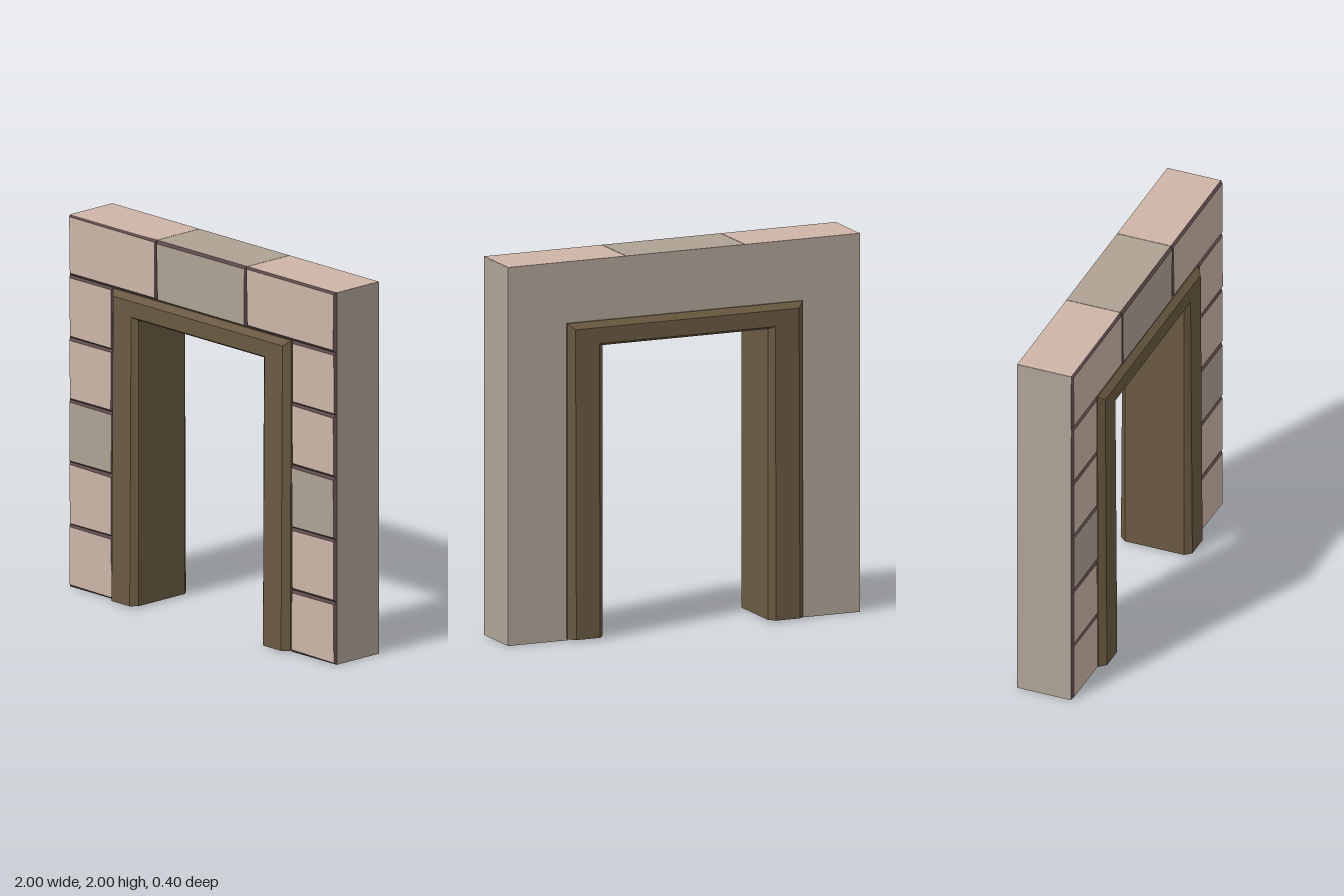
import * as THREE from 'three';

const material = (color) => new THREE.MeshStandardMaterial({ color, flatShading: true });
const STONE = material(0xb0a598);
const PINK = material(0xcdb5a7);
const GREY = material(0xaea294);
const EDGE = material(0x5c484a);
const WOOD = material(0x6a5a42);

function add(parent, name, geometry, mat) {
  const mesh = new THREE.Mesh(geometry, mat);
  mesh.name = name;
  parent.add(mesh);
  return mesh;
}

// Flat-shaded geometry from four-cornered faces (corners counter-clockwise)
function quads(list) {
  const pos = [];
  for (const [a, b, c, d] of list) pos.push(...a, ...b, ...c, ...a, ...c, ...d);
  const g = new THREE.BufferGeometry();
  g.setAttribute('position', new THREE.Float32BufferAttribute(pos, 3));
  g.computeVertexNormals();
  return g;
}

// Small repeatable variation for hand-cut stone edges
let seed = 7;
const vary = () => {
  seed = (seed * 16807) % 2147483647;
  return (seed / 2147483647) * 0.008;
};

// Facing stone: dark bevelled rim around a flat face
function addBlock(parent, name, x0, x1, y0, y1, mat) {
  const block = new THREE.Group();
  block.name = name;
  const rim = [[x0, y0, 0.15], [x1, y0, 0.15], [x1, y1, 0.15], [x0, y1, 0.15]];
  const face = rim.map(([x, y], i) => [
    x + (i === 0 || i === 3 ? 1 : -1) * (0.006 + vary()),
    y + (i < 2 ? 1 : -1) * (0.008 + vary()),
    0.163,
  ]);
  const sides = rim.map((p, i) => [p, rim[(i + 1) % 4], face[(i + 1) % 4], face[i]]);
  add(block, 'bevel', quads(sides), EDGE);
  add(block, 'face', quads([face]), mat);
  parent.add(block);
}

// Timber surround: one profile carried up, across and down with mitred corners
function frameGeometry() {
  // half-width, lintel height, depth at the floor, depth at the lintel
  const half = [
    [0.668, 1.675, 0.165, 0.16],
    [0.635, 1.645, 0.2, 0.19],
    [0.5, 1.56, 0.2, 0.19],
    [0.47, 1.545, 0.165, 0.165],
  ];
  const profile = [...half, ...half.slice().reverse().map(([x, y, a, b]) => [x, y, -a, -b])];
  const stations = [
    profile.map(([x, , z]) => [x, 0.008, z]),
    profile.map(([x, y, , z]) => [x, y, z]),
    profile.map(([x, y, , z]) => [-x, y, z]),
    profile.map(([x, , z]) => [-x, 0.008, z]),
  ];
  const n = profile.length;
  const faces = [];
  for (let s = 0; s < 3; s++) {
    for (let i = 0; i < n; i++) {
      const j = (i + 1) % n;
      faces.push([stations[s][i], stations[s + 1][i], stations[s + 1][j], stations[s][j]]);
    }
  }
  // Feet of the posts
  for (let i = 0; i < 3; i++) {
    const a = stations[0], b = stations[3], k = n - 1 - i;
    faces.push([a[i], a[i + 1], a[k - 1], a[k]]);
    faces.push([b[i], b[k], b[k - 1], b[i + 1]]);
  }
  return quads(faces);
}

export function createModel() {
  const model = new THREE.Group();
  model.name = 'doorway';

  // Plain wall behind the facing stones
  const outline = new THREE.Shape();
  [[-1, 0], [-0.66, 0], [-0.66, 1.67], [0.66, 1.67], [0.66, 0], [1, 0], [1, 1.998], [-1, 1.998]]
    .forEach(([x, y], i) => (i ? outline.lineTo(x, y) : outline.moveTo(x, y)));
  const wall = new THREE.ExtrudeGeometry(outline, { depth: 0.3, bevelEnabled: false });
  wall.translate(0, 0, -0.15);
  add(model, 'wall', wall, STONE);

  // Five stones up each pillar, the middle one grey
  const row = 0.335;
  for (const [side, x0, x1] of [['left', 0.668, 1], ['right', -1, -0.668]]) {
    for (let i = 0; i < 5; i++) {
      addBlock(model, `${side}Stone${i + 1}`, x0, x1, i * row, (i + 1) * row, i === 2 ? GREY : PINK);
    }
  }

  // Three long stones over the opening, with coloured tops
  const joints = [-1, -0.345, 0.33, 1];
  for (let i = 0; i < 3; i++) {
    const x0 = joints[i], x1 = joints[i + 1], mat = i === 1 ? GREY : PINK;
    addBlock(model, `lintelStone${i + 1}`, x0, x1, 5 * row, 2, mat);
    const top = new THREE.BoxGeometry(x1 - x0 - 0.003, 0.003, 0.3);
    add(model, `lintelStoneTop${i + 1}`, top, mat).position.set((x0 + x1) / 2, 1.9985, 0);
  }

  add(model, 'doorFrame', frameGeometry(), WOOD);
  return model;
}
